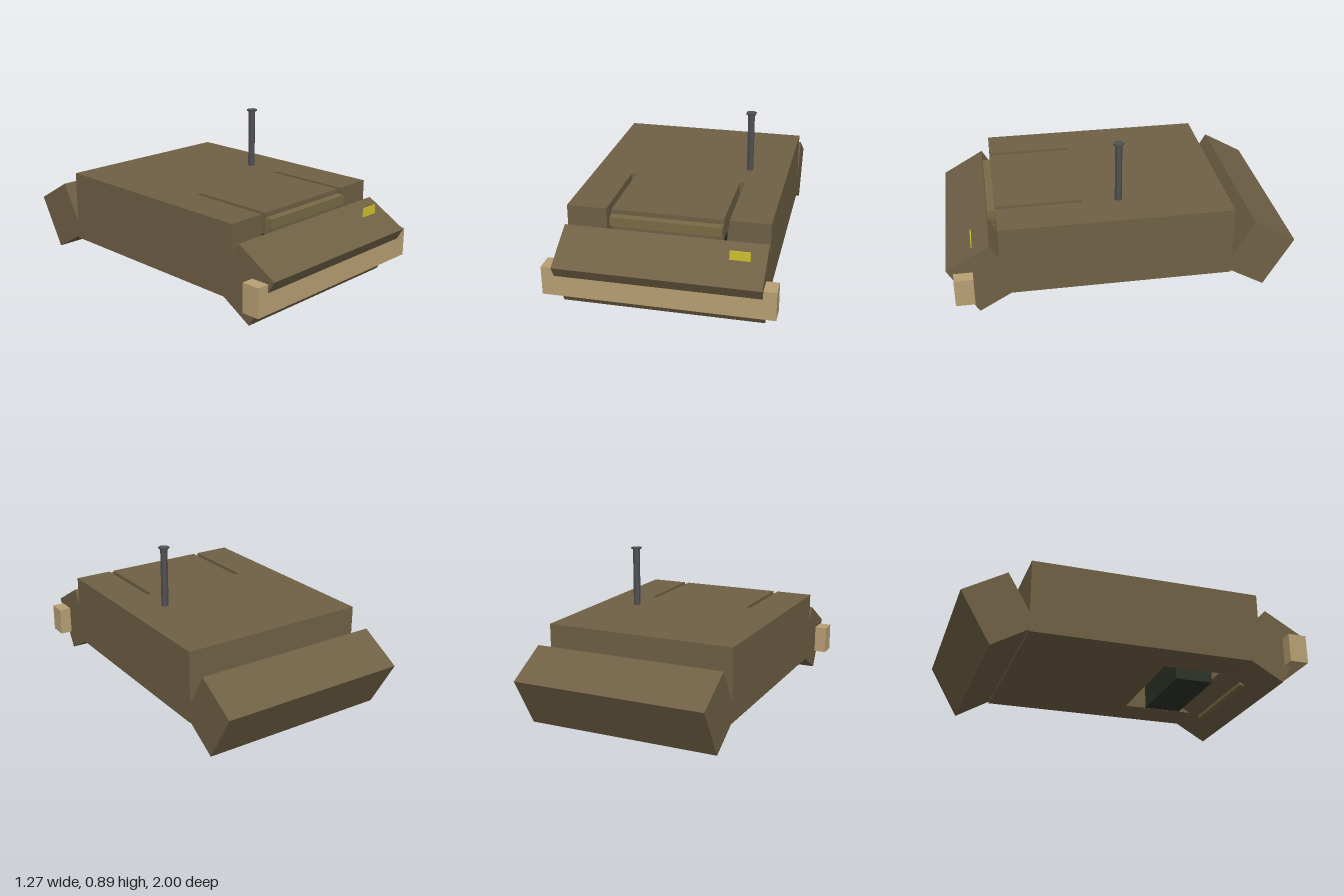
import * as THREE from 'three';

const mat = (color) => new THREE.MeshStandardMaterial({ color, flatShading: true });

export function createModel() {
  const model = new THREE.Group();
  const olive = mat(0x6f6045), trim = mat(0x796a45), timber = mat(0xb89f74);
  const dark = mat(0x2c3327), steel = mat(0x505053), yellow = mat(0xd0c030);

  const add = (name, geometry, material) => {
    const mesh = new THREE.Mesh(geometry, material);
    mesh.name = name;
    model.add(mesh);
    return mesh;
  };
  // Box given by its limits on each axis
  const box = (name, material, x0, x1, y0, y1, z0, z1) => {
    const mesh = add(name, new THREE.BoxGeometry(x1 - x0, y1 - y0, z1 - z0), material);
    mesh.position.set((x0 + x1) / 2, (y0 + y1) / 2, (z0 + z1) / 2);
    return mesh;
  };

  // Hull: U-shaped plan, open at the front between the two side arms
  const plan = [[-0.565, -0.63], [0.565, -0.63], [0.565, 0.705], [0.34, 0.705],
    [0.34, 0.21], [-0.34, 0.21], [-0.34, 0.705], [-0.565, 0.705]];
  const shape = new THREE.Shape(plan.map(([x, z]) => new THREE.Vector2(x, -z)));
  const hullGeometry = new THREE.ExtrudeGeometry(shape, { depth: 0.42, bevelEnabled: false });
  hullGeometry.rotateX(-Math.PI / 2);
  add('hull', hullGeometry, olive).position.y = 0.11;

  // Deck panel and front plate between the slots
  box('deckPanel', olive, -0.31, 0.31, 0.41, 0.53, 0.2, 0.705);
  box('frontPlate', olive, -0.28, 0.28, 0.09, 0.47, 0.69, 0.73);
  box('upperRim', trim, -0.31, 0.31, 0.45, 0.503, 0.69, 0.75);
  box('lowerRim', trim, -0.31, 0.31, 0.065, 0.115, 0.69, 0.75);

  // Engine block hanging below the deck panel
  box('engineBlock', dark, -0.26, 0.26, 0.08, 0.42, 0.312, 0.537);

  // Tilted end blocks, mirrored front to back
  for (const side of [1, -1]) {
    const end = add(side > 0 ? 'frontBlock' : 'rearBlock',
      new THREE.BoxGeometry(1.13, 0.336, 0.283), olive);
    end.position.set(0, 0.22, side * 0.7925);
    end.rotation.x = side * Math.PI / 6;
  }

  // Timber beam and marker plate on the front block
  box('bumperBeam', timber, -0.637, 0.637, 0.108, 0.274, 0.852, 0.96);
  box('markerPlate', yellow, 0.368, 0.48, 0.37, 0.431, 0.848, 0.854);

  // Hexagonal exhaust pipe with a flared cap
  const pipe = add('exhaustPipe', new THREE.CylinderGeometry(0.021, 0.021, 0.38, 6), steel);
  pipe.position.set(0.337, 0.695, 0);
  const cap = add('exhaustCap', new THREE.CylinderGeometry(0.033, 0.031, 0.01, 6), steel);
  cap.position.set(0.337, 0.885, 0);

  return model;
}
